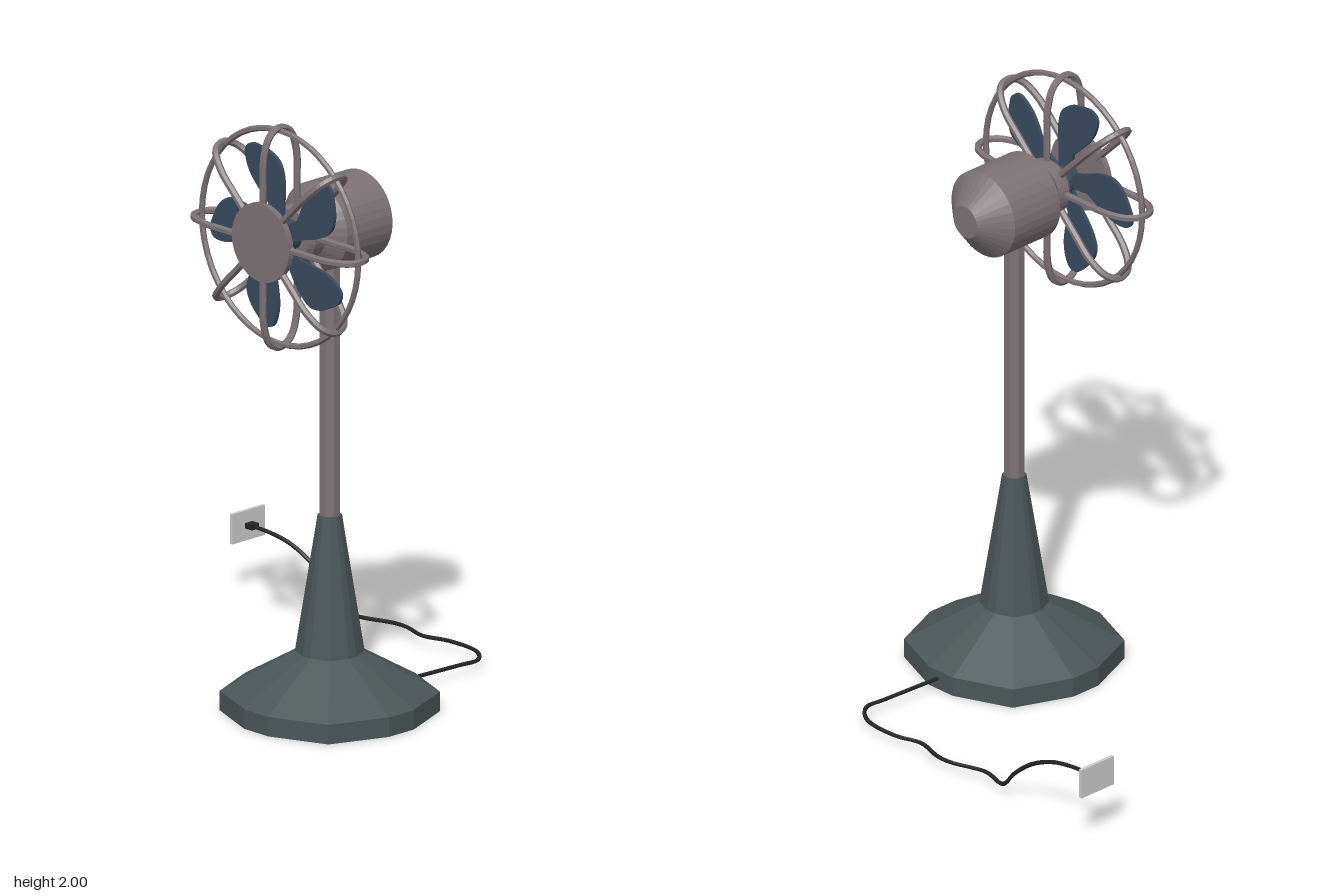
import * as THREE from 'three';

const mat = (color, extra = {}) => new THREE.MeshStandardMaterial({ color, flatShading: true, ...extra });
const metal = mat(0x7c7276);
const iron = mat(0x4b5658);
const blue = mat(0x3a4a5c, { side: THREE.DoubleSide });
const rubber = mat(0x222426);
const grey = mat(0xcccccc);

function add(parent, name, geometry, material, x = 0, y = 0, z = 0) {
  const mesh = new THREE.Mesh(geometry, material);
  mesh.name = name;
  mesh.position.set(x, y, z);
  parent.add(mesh);
  return mesh;
}

// Polyline tube with crisp bends
function wire(points, radius, sides) {
  const path = new THREE.CurvePath();
  const v = points.map(p => new THREE.Vector3(...p));
  for (let i = 0; i < v.length - 1; i++) path.add(new THREE.LineCurve3(v[i], v[i + 1]));
  const group = new THREE.CatmullRomCurve3(v, false, 'centripetal');
  return new THREE.TubeGeometry(group, v.length * 5, radius, sides);
}

// Twelve-sided pedestal: each profile entry is [radius, height]
function pedestalGeometry(profile) {
  const outline = [];
  for (let q = 0; q < 4; q++) {
    for (const [x, z] of [[1, 0.17], [0.76, 0.76], [0.17, 1]]) {
      const a = q * Math.PI / 2, c = Math.cos(a), s = Math.sin(a);
      outline.push([x * c - z * s, x * s + z * c]);
    }
  }
  const pos = [], n = outline.length;
  const point = (k, i) => {
    const [r, y] = profile[k], [x, z] = outline[i % n];
    return [x * r, y, z * r];
  };
  for (let i = 0; i < n; i++) {
    for (let k = 0; k < profile.length - 1; k++) {
      const a = point(k, i), b = point(k, i + 1), c = point(k + 1, i), d = point(k + 1, i + 1);
      pos.push(...a, ...c, ...b, ...b, ...c, ...d);
    }
    const top = profile.length - 1;
    pos.push(0, profile[0][1], 0, ...point(0, i), ...point(0, i + 1));
    pos.push(0, profile[top][1], 0, ...point(top, i + 1), ...point(top, i));
  }
  const g = new THREE.BufferGeometry();
  g.setAttribute('position', new THREE.Float32BufferAttribute(pos, 3));
  g.computeVertexNormals();
  return g;
}

export function createModel() {
  const model = new THREE.Group();
  model.name = 'pedestalFan';
  const X = 0.355, Z = 0.217, Y = 1.627;

  // Stand
  add(model, 'base', pedestalGeometry([[0.325, 0], [0.325, 0.065], [0.103, 0.2], [0.036, 0.655]]), iron, X, 0, Z);
  add(model, 'pole', new THREE.CylinderGeometry(0.035, 0.035, 0.89, 8).rotateY(Math.PI / 8), metal, X, 1.085, Z);

  // Head: local z runs along the fan axis
  const head = new THREE.Group();
  head.name = 'head';
  head.position.set(X, Y, 0);
  model.add(head);

  const motorProfile = [[0, 0], [0.054, 0], [0.145, 0.08], [0.145, 0.28], [0.093, 0.325],
    [0.093, 0.37], [0.08, 0.388], [0, 0.388]].map(p => new THREE.Vector2(...p));
  add(head, 'motorHousing', new THREE.LatheGeometry(motorProfile, 32).rotateX(Math.PI / 2), metal);
  add(head, 'bladeHub', new THREE.CylinderGeometry(0.05, 0.05, 0.08, 16).rotateX(Math.PI / 2), blue, 0, 0, 0.42);

  // Five curved blades
  const blade = new THREE.Shape();
  blade.moveTo(0.03, -0.03);
  blade.lineTo(0.1, -0.052);
  blade.splineThru([[0.165, -0.076], [0.228, -0.08], [0.27, -0.052], [0.298, -0.005], [0.312, 0.037],
    [0.288, 0.069], [0.212, 0.064], [0.11, 0.012]].map(p => new THREE.Vector2(...p)));
  blade.lineTo(0.03, 0.02);
  const bladeGeometry = new THREE.ExtrudeGeometry(blade, { depth: 0.012, bevelEnabled: false, curveSegments: 18 });
  for (let i = 0; i < 5; i++) {
    add(head, 'blade', bladeGeometry, blue, 0, 0, 0.431).rotation.z = Math.PI + i * Math.PI * 2 / 5;
  }

  // Cage: front disc, rim and eight ribs
  add(head, 'frontDisc', new THREE.CylinderGeometry(0.13, 0.13, 0.02, 32).rotateX(Math.PI / 2), metal, 0, 0, 0.514);
  add(head, 'cageRim', new THREE.TorusGeometry(0.355, 0.01, 6, 48), metal, 0, 0, 0.437);
  const ribGeometry = wire([[0.07, 0, 0.362], [0.18, 0, 0.362], [0.27, 0, 0.364], [0.335, 0, 0.385], [0.362, 0, 0.418],
    [0.362, 0, 0.458], [0.335, 0, 0.49], [0.27, 0, 0.51], [0.18, 0, 0.512], [0.1, 0, 0.512]], 0.012, 6);
  for (let i = 0; i < 8; i++) {
    add(head, 'cageRib', ribGeometry, metal).rotation.z = i * Math.PI / 4;
  }

  // Power cord running along the floor and up to the wall plate
  add(model, 'cord', wire([[0.37, 0.035, -0.06], [0.373, 0.035, -0.12], [0.384, 0.035, -0.33], [0.387, 0.035, -0.405],
    [0.318, 0.035, -0.468], [0.18, 0.035, -0.48], [0.086, 0.035, -0.457], [-0.016, 0.035, -0.484],
    [-0.075, 0.035, -0.484], [-0.2, 0.035, -0.45], [-0.3, 0.035, -0.47], [-0.35, 0.09, -0.47],
    [-0.43, 0.153, -0.47], [-0.524, 0.195, -0.47], [-0.61, 0.211, -0.47], [-0.715, 0.216, -0.47]], 0.007, 6), rubber);
  add(model, 'plug', new THREE.BoxGeometry(0.035, 0.018, 0.032), rubber, -0.705, 0.216, -0.47);
  add(model, 'wallPlate', new THREE.BoxGeometry(0.012, 0.1, 0.143), grey, -0.724, 0.216, -0.47);

  return model;
}
